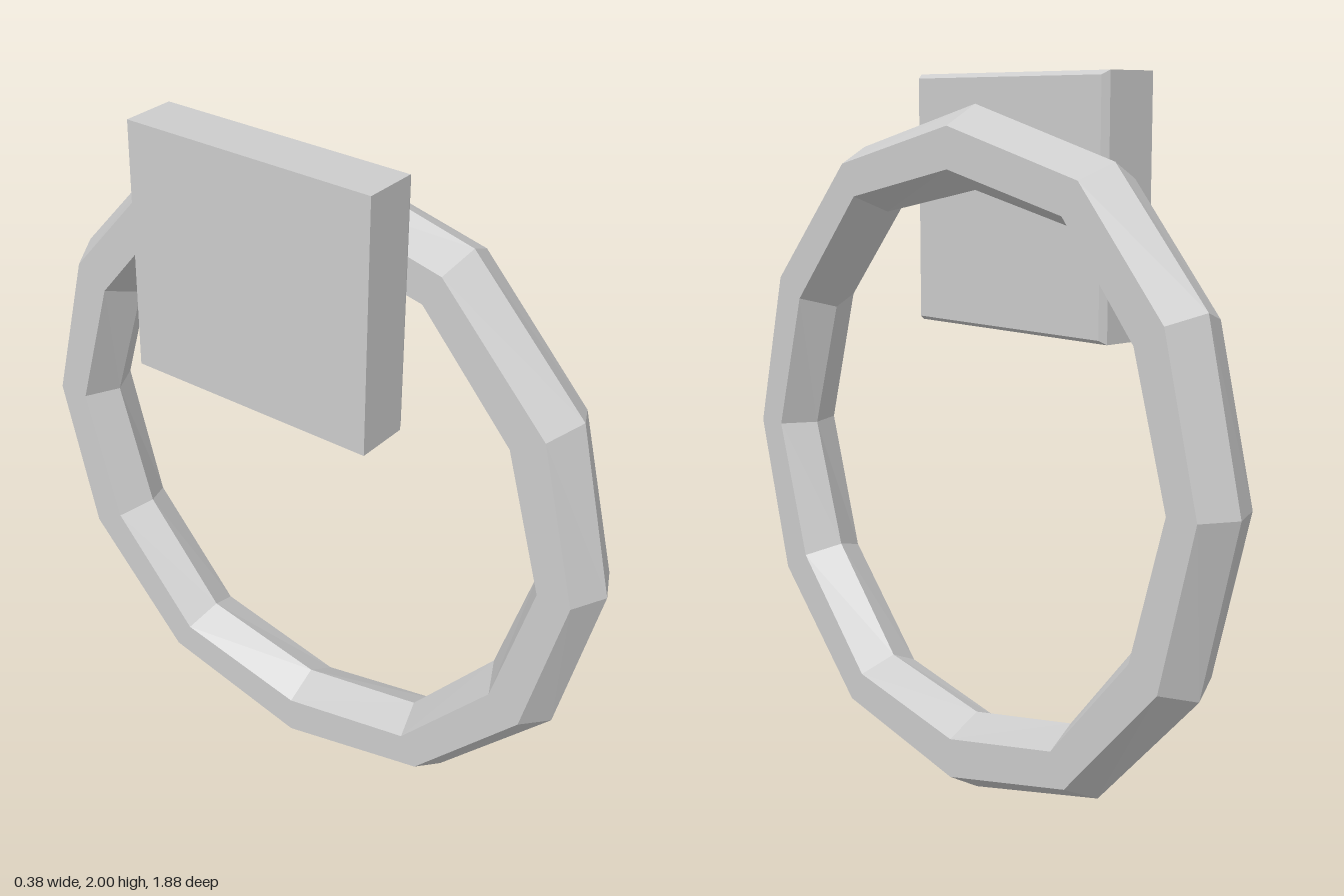
import * as THREE from 'three';

const material = new THREE.MeshStandardMaterial({ color: 0xcccccc, flatShading: true });

// Twelve-sided ring with a hexagonal section, slightly uneven like a forged hoop.
function ringGeometry() {
  const steps = 12, sides = 6;
  const outer = [0.957, 0.967, 0.954, 0.942]; // at 0, 30, 60 and 90 degrees from vertical
  const inner = [0.732, 0.76, 0.731, 0.746];
  const positions = [], index = [];
  for (let i = 0; i < steps; i++) {
    const k = i % 6 > 3 ? 6 - (i % 6) : i % 6;
    // one joint leans a little towards the back
    const angle = (i / steps) * Math.PI * 2 + (i === 11 ? -0.04 : 0);
    const mid = (outer[k] + inner[k]) / 2, half = (outer[k] - inner[k]) / 2;
    for (let j = 0; j < sides; j++) {
      const a = (j / sides) * Math.PI * 2;
      const r = mid + half * Math.cos(a);
      positions.push(0.115 * Math.sin(a), r * Math.cos(angle), r * Math.sin(angle));
      const i2 = (i + 1) % steps, j2 = (j + 1) % sides;
      const p = i * sides + j, q = i2 * sides + j;
      const s = i2 * sides + j2, t = i * sides + j2;
      index.push(p, s, q, p, t, s);
    }
  }
  const geometry = new THREE.BufferGeometry();
  geometry.setAttribute('position', new THREE.Float32BufferAttribute(positions, 3));
  geometry.setIndex(index);
  // orient outward: the first face (top, outer) must look up
  const [a, b, c] = index.slice(0, 3).map(n => new THREE.Vector3().fromArray(positions, n * 3));
  const normal = b.sub(a).cross(c.sub(a));
  if (normal.y < 0) geometry.setIndex(index.reverse());
  geometry.computeVertexNormals();
  return geometry;
}

// Plate whose ring-side face is bevelled along all four edges.
function plateGeometry(width, height, depth, bevelX, inset) {
  const geometry = new THREE.BoxGeometry(width, height, depth, 2, 1, 1);
  const p = geometry.attributes.position;
  for (let i = 0; i < p.count; i++) {
    const x = p.getX(i);
    if (Math.abs(x) < 1e-6) p.setX(i, width / 2 - bevelX);
    if (x > 1e-6) {
      p.setY(i, p.getY(i) - Math.sign(p.getY(i)) * inset);
      p.setZ(i, p.getZ(i) - Math.sign(p.getZ(i)) * inset);
    }
  }
  geometry.computeVertexNormals();
  return geometry;
}

export function createModel() {
  const group = new THREE.Group();
  group.name = 'ringAndWallPlate';

  const ring = new THREE.Mesh(ringGeometry(), material);
  ring.name = 'ring';
  ring.position.set(0.085, 0.96, 0);

  const plate = new THREE.Mesh(plateGeometry(0.176, 0.697, 0.749, 0.02, 0.012), material);
  plate.name = 'wallPlate';
  plate.position.set(-0.106, 1.6515, -0.002);

  group.add(ring, plate);
  return group;
}
